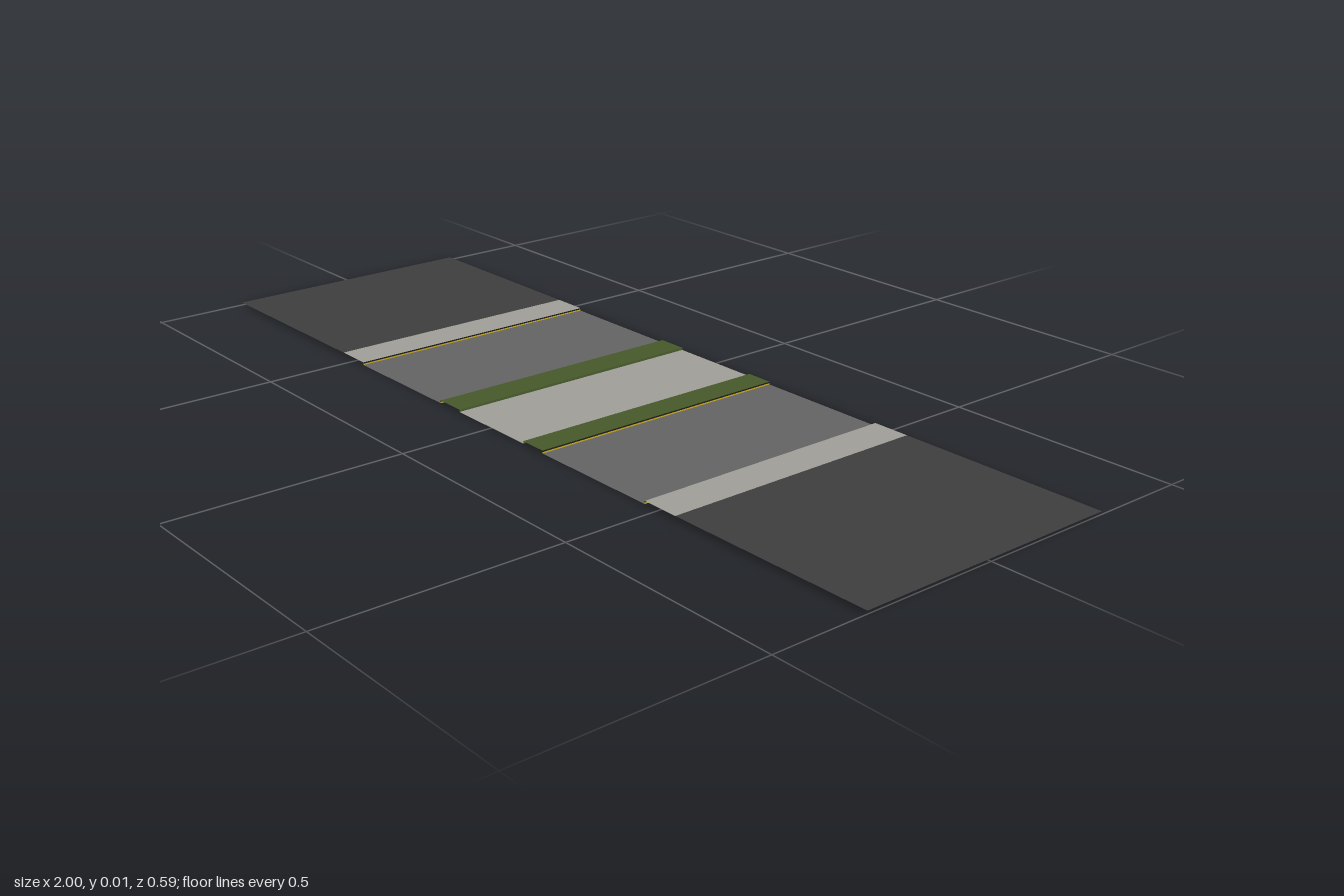
import * as THREE from 'three';

const DEPTH = 0.59;
const HIGH = 0.006; // raised verge and pavement level
const BAND = 0.003; // top of the painted kerb band

function material(name, color) {
  const m = new THREE.MeshStandardMaterial({ color, side: THREE.DoubleSide });
  m.name = name;
  return m;
}

export function createModel() {
  const group = new THREE.Group();
  group.name = 'roadSection';

  const plotDark = material('dark plot', 0x3e3e3e);
  const paving = material('pale paving', 0xa09f99);
  const asphalt = material('grey asphalt', 0x646464);
  const grass = material('olive grass', 0x475a2a);
  const yellow = material('kerb yellow', 0xc9a81c);
  const black = material('kerb black', 0x1c1c1a);

  // Horizontal sheet running the full depth of the section
  function strip(name, x0, x1, y, mat) {
    const geometry = new THREE.PlaneGeometry(x1 - x0, DEPTH).rotateX(-Math.PI / 2);
    const mesh = new THREE.Mesh(geometry, mat);
    mesh.position.set((x0 + x1) / 2, y, 0);
    mesh.name = name;
    group.add(mesh);
  }

  // Upright sheet closing a step between two levels
  function riser(name, x, y0, y1, mat) {
    const geometry = new THREE.PlaneGeometry(DEPTH, y1 - y0).rotateY(Math.PI / 2);
    const mesh = new THREE.Mesh(geometry, mat);
    mesh.position.set(x, (y0 + y1) / 2, 0);
    mesh.name = name;
    group.add(mesh);
  }

  // Ground strips from the right side to the left side
  strip('rightPlot', -1, -0.547, HIGH, plotDark);
  strip('rightPavement', -0.547, -0.466, HIGH, paving);
  strip('rightRoad', -0.466, -0.174, 0, asphalt);
  strip('rightVerge', -0.174, -0.108, HIGH, grass);
  strip('centralPath', -0.108, 0.105, 0.001, paving);
  strip('leftVerge', 0.105, 0.166, HIGH, grass);
  strip('leftRoad', 0.166, 0.464, 0, asphalt);
  strip('leftPavement', 0.464, 0.546, HIGH, paving);
  strip('leftPlot', 0.546, 1, HIGH, plotDark);

  // Two-tone kerbs along both roads
  for (const x of [-0.466, -0.174, 0.166, 0.464]) {
    riser('kerbLowerBand', x, 0, BAND, yellow);
    riser('kerbUpperBand', x, BAND, HIGH, black);
  }

  // Plain edges between the verges and the central path
  for (const x of [-0.108, 0.105]) riser('vergeEdge', x, 0.001, HIGH, grass);

  return group;
}
